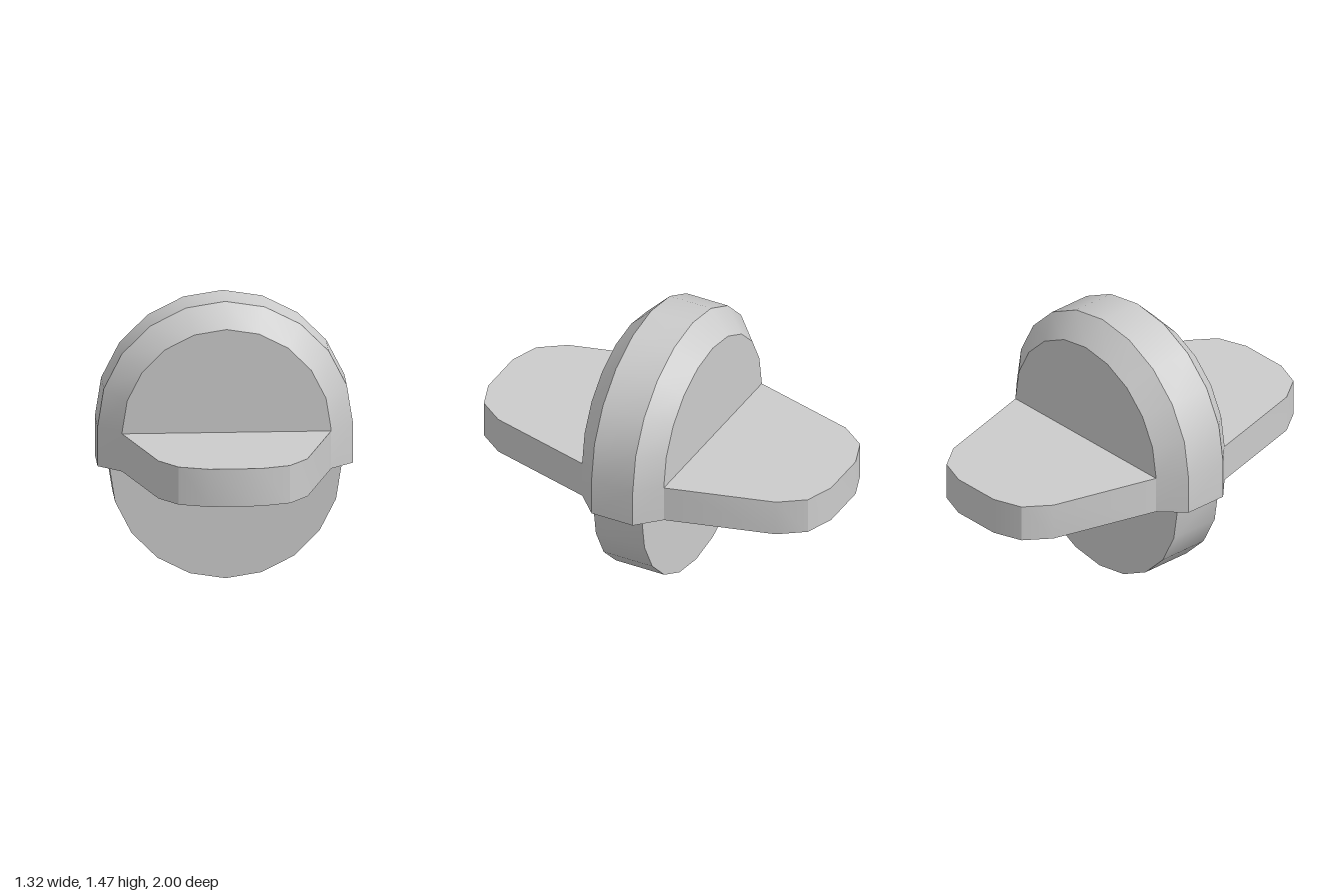
import * as THREE from 'three';
import { toCreasedNormals } from 'three/addons/utils/BufferGeometryUtils.js';

const CREASE = THREE.MathUtils.degToRad(28);
const BASE_Y = 0.6, ARC_Y = 0.807, STEPS = 10;
const material = new THREE.MeshStandardMaterial({ color: 0xcccccc });

function part(name, geometry) {
  const mesh = new THREE.Mesh(toCreasedNormals(geometry, CREASE), material);
  mesh.name = name;
  return mesh;
}

// Flat outline extruded along z
function extrude(points, depth) {
  return new THREE.ExtrudeGeometry(new THREE.Shape(points), { depth, bevelEnabled: false });
}

// Points on an arc, counter-clockwise
function arc(radius, centreY, start) {
  return Array.from({ length: STEPS + 1 }, (_, i) => {
    const a = start + (Math.PI * i) / STEPS;
    return new THREE.Vector2(radius * Math.cos(a), centreY + radius * Math.sin(a));
  });
}

// Arch outline: semicircle on short straight legs
function archOutline(radius) {
  return [new THREE.Vector2(radius, BASE_Y), ...arc(radius, ARC_Y, 0), new THREE.Vector2(-radius, BASE_Y)];
}

// Arch lofted from front to back, with chamfered rims
function archGeometry() {
  const sections = [[0.54, 0.238], [0.66, 0.12], [0.66, -0.12], [0.54, -0.238]];
  const positions = [], index = [];
  const n = archOutline(1).length;
  for (const [radius, z] of sections) {
    for (const p of archOutline(radius)) positions.push(p.x, p.y, z);
  }
  for (let k = 0; k < sections.length - 1; k++) {
    for (let i = 0; i < n; i++) {
      const j = (i + 1) % n;
      const a = k * n + i, b = a + n, d = k * n + j, c = d + n;
      index.push(a, b, c, a, c, d);
    }
  }
  // Front and back faces
  const back = (sections.length - 1) * n;
  for (let i = 1; i < n - 1; i++) {
    index.push(0, i, i + 1, back, back + i + 1, back + i);
  }
  const geometry = new THREE.BufferGeometry();
  geometry.setAttribute('position', new THREE.Float32BufferAttribute(positions, 3));
  geometry.setIndex(index);
  return geometry;
}

// Horizontal plate tapering outward to a blunt, faceted tip
function wingGeometry() {
  const half = [[0.54, 0.238], [0.385, 0.81], [0.288, 0.945], [0.135, 1]];
  const points = [
    ...half.map(([x, z]) => new THREE.Vector2(x, z)),
    ...half.slice().reverse().map(([x, z]) => new THREE.Vector2(-x, z)),
  ];
  return extrude(points, 0.2).rotateX(Math.PI / 2).translate(0, 0.8, 0);
}

export function createModel() {
  const model = new THREE.Group();
  model.name = 'model';

  model.add(part('upperArch', archGeometry()));

  // Thinner half disc below the arch
  const disc = extrude(arc(0.6, BASE_Y, Math.PI), 0.284).translate(0, 0, -0.142);
  model.add(part('lowerHalfDisc', disc));

  // Front and back plates
  model.add(part('frontPlate', wingGeometry()));
  model.add(part('backPlate', wingGeometry().rotateY(Math.PI)));

  return model;
}
